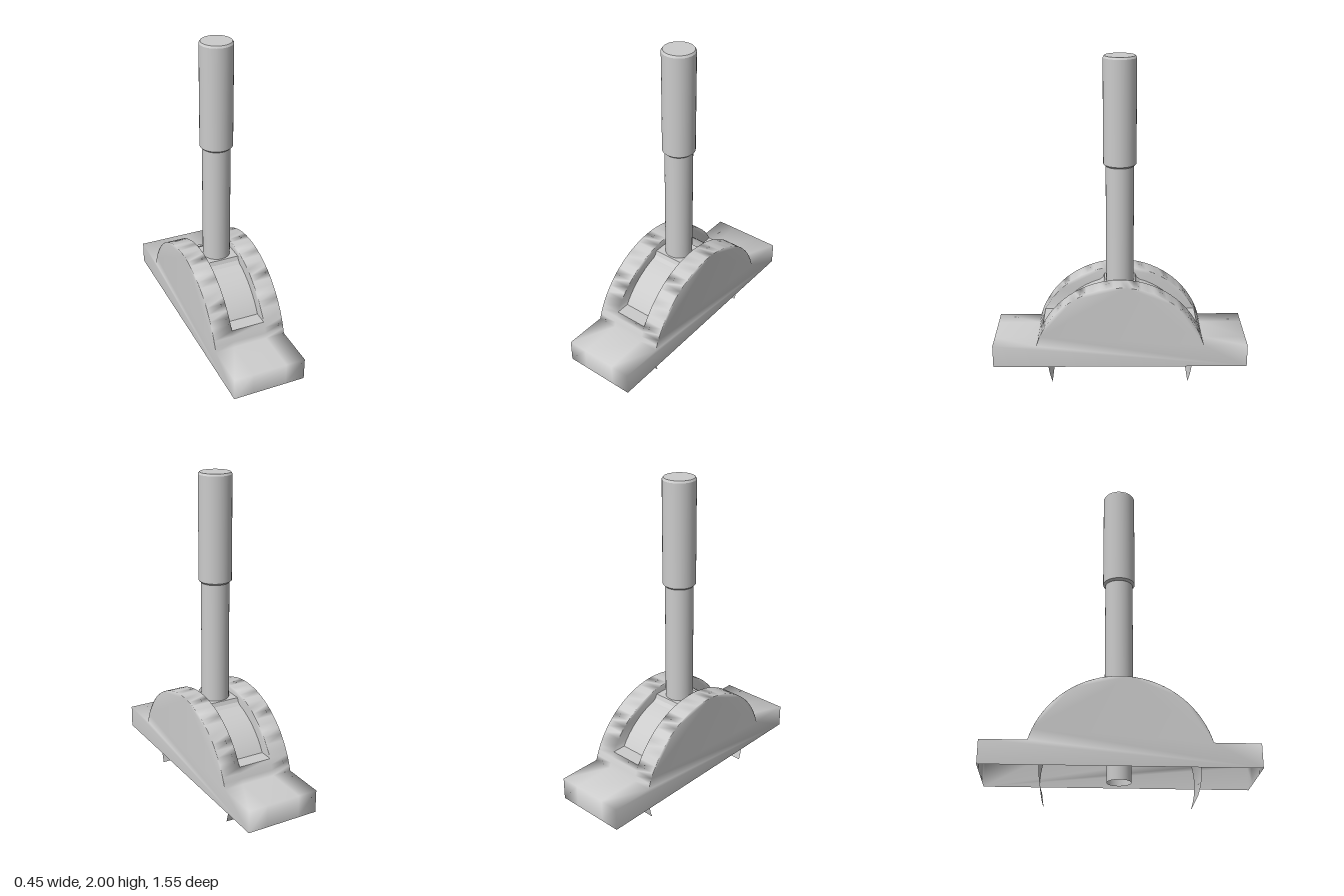
import * as THREE from 'three';
import { mergeGeometries, mergeVertices } from 'three/addons/utils/BufferGeometryUtils.js';

const W = 0.225, SLOT = 0.105;          // half widths of housing and slot
const R = 0.53, CY = 0.135;             // dome radius and centre height
const grey = new THREE.MeshStandardMaterial({ color: 0xcccccc, side: THREE.DoubleSide });

// Points [z, y] along an arc from angle a to angle b, starting at the front
function arc(r, cy, a, b, n) {
  return Array.from({ length: n + 1 }, (_, i) => {
    const t = a + (b - a) * i / n;
    return [r * Math.cos(t), cy + r * Math.sin(t)];
  });
}

// Strip spanning x0..x1 that follows a [z, y] path
function ribbon(path, x0, x1) {
  const pos = [], index = [];
  path.forEach(([z, y], i) => {
    pos.push(x0, y, z, x1, y, z);
    if (i) {
      const k = 2 * i;
      index.push(k - 2, k - 1, k + 1, k - 2, k + 1, k);
    }
  });
  const g = new THREE.BufferGeometry();
  g.setAttribute('position', new THREE.Float32BufferAttribute(pos, 3));
  g.setIndex(index);
  g.computeVertexNormals();
  return g;
}

// Flat wall at x, outlined by a symmetric [z, y] path, facing +x or -x
function wall(path, x, facing) {
  const g = new THREE.ShapeGeometry(new THREE.Shape(path.map(p => new THREE.Vector2(...p))));
  g.rotateY(facing * Math.PI / 2).translate(x, 0, 0);
  g.deleteAttribute('uv');
  return g;
}

export function createModel() {
  const model = new THREE.Group();
  const add = (name, geometry) => {
    const m = new THREE.Mesh(geometry, grey);
    m.name = name;
    model.add(m);
  };

  // Housing: open-bottomed base with two domed cheeks around the slot
  const a0 = Math.asin((0.28 - CY) / R), a1 = Math.asin((0.375 - CY) / R);
  const rise = arc(R, CY, a0, a1, 3);
  const dome = arc(R, CY, a1, Math.PI - a1, 28);
  const fall = arc(R, CY, Math.PI - a1, Math.PI - a0, 3);
  const front = [[0.775, 0.14], [0.775, 0.28], ...rise];
  const back = [...fall, [-0.775, 0.28], [-0.775, 0.14]];
  const outline = [...front, ...dome.slice(1, -1), ...back];
  const parts = [ribbon(front, -SLOT, SLOT), ribbon(back, -SLOT, SLOT)];
  for (const s of [-1, 1]) {
    parts.push(ribbon(outline, s > 0 ? SLOT : -W, s > 0 ? W : -SLOT));
    parts.push(wall(outline, s * W, s), wall(dome, s * SLOT, -s));
  }
  parts.forEach(g => g.deleteAttribute('normal'));
  const housing = mergeVertices(mergeGeometries(parts), 1e-4);
  housing.computeVertexNormals();
  add('housing', housing);

  // Ledges at both ends of the slot
  for (const s of [-1, 1]) {
    const ends = [[s * 0.4725, 0.375], [s * 0.385, 0.375]];
    add('slotLedge', ribbon(s > 0 ? ends : ends.reverse(), -SLOT, SLOT));
  }

  // Curved sliding shield that fills the slot and hangs below the base
  const low = -Math.asin(0.15 / 0.446);
  add('slidingShield', ribbon(arc(0.446, 0.15, low, Math.PI - low, 40), -0.16, 0.16));

  // Collar where the lever leaves the shield
  const collar = new THREE.Shape([[-0.135, 0.57], [0.135, 0.57], [0.105, 0.595], [0.095, 0.62],
    [-0.095, 0.62], [-0.105, 0.595]].map(p => new THREE.Vector2(...p)));
  add('collar', new THREE.ExtrudeGeometry(collar, { depth: 2 * 0.104, bevelEnabled: false })
    .translate(0, 0, -0.104).rotateY(Math.PI / 2));

  // Lever: thin lower stub, main rod and bevelled grip
  add('leverStub', new THREE.CylinderGeometry(0.07, 0.07, 0.49, 32, 1, true).translate(0, 0.355, 0));
  add('leverRod', new THREE.CylinderGeometry(0.084, 0.084, 0.78, 32).translate(0, 0.98, 0));
  const grip = [[0, 1.355], [0.085, 1.355], [0.098, 1.367], [0.098, 1.988], [0.09, 2], [0, 2]];
  const segments = grip.slice(1).map((p, i) =>
    new THREE.LatheGeometry([grip[i], p].map(q => new THREE.Vector2(...q)), 32));
  add('grip', mergeGeometries(segments));

  return model;
}
